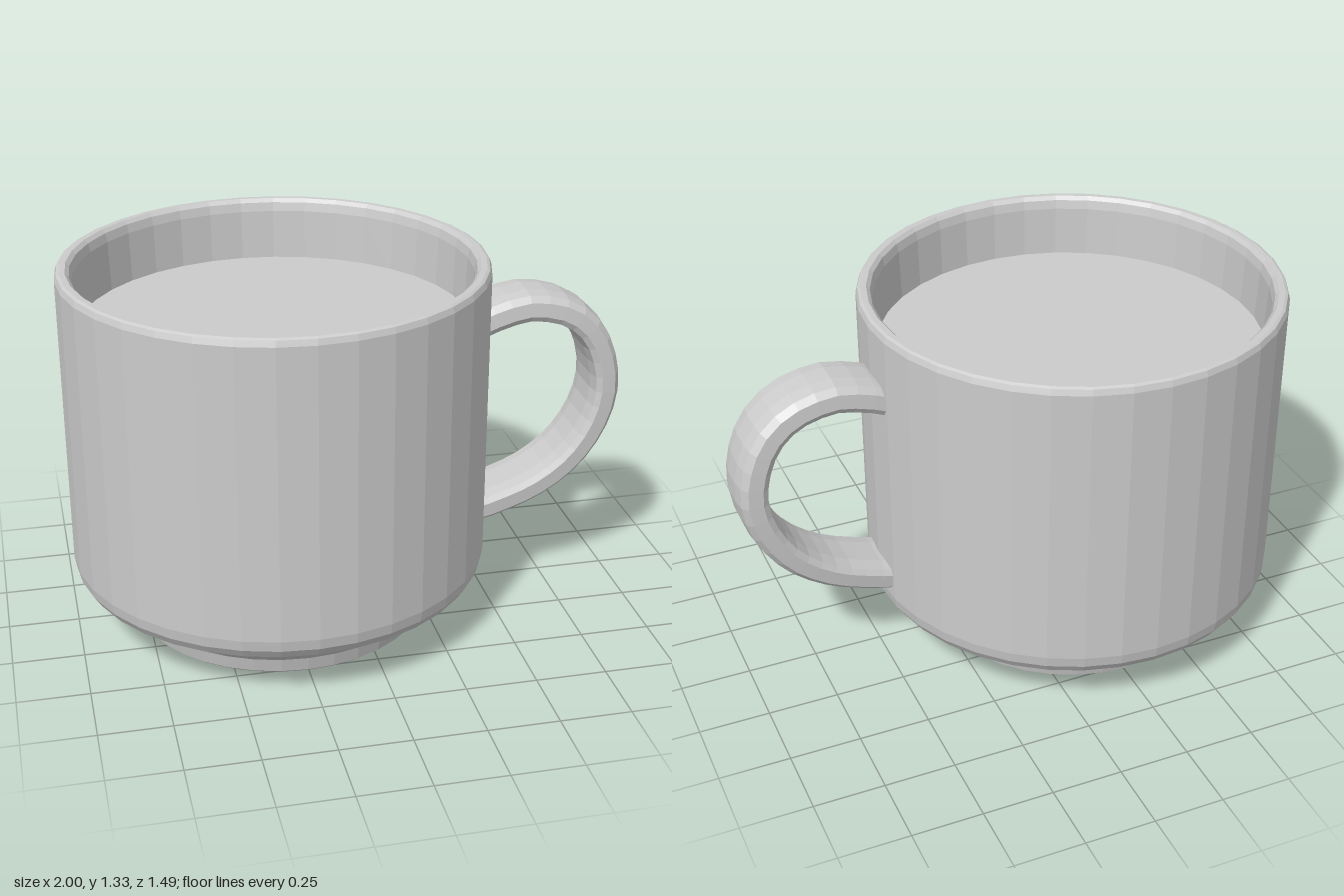
import * as THREE from 'three';

const CUP_X = -0.255; // cup axis, offset so cup plus handle is centred
const SIDES = 36;

const grey = () => new THREE.MeshStandardMaterial({ color: 0xcccccc, flatShading: true });
const v2 = ([x, y]) => new THREE.Vector2(x, y);

function part(name, geometry, x = 0, y = 0) {
  const mesh = new THREE.Mesh(geometry, grey());
  mesh.name = name;
  mesh.position.set(x, y, 0);
  return mesh;
}

// Sweep a closed (outward, sideways) section along a path in the xy plane
function sweepInPlane(path, section, steps) {
  const n = section.length;
  const positions = [], index = [];
  for (let i = 0; i <= steps; i++) {
    const p = path.getPointAt(i / steps);
    const t = path.getTangentAt(i / steps);
    for (const [out, side] of section) {
      positions.push(p.x - t.y * out, p.y + t.x * out, side);
    }
  }
  for (let i = 0; i < steps; i++) {
    for (let j = 0; j < n; j++) {
      const a = i * n + j, b = i * n + (j + 1) % n;
      index.push(a, b, b + n, a, b + n, a + n);
    }
  }
  const geometry = new THREE.BufferGeometry();
  geometry.setAttribute('position', new THREE.Float32BufferAttribute(positions, 3));
  geometry.setIndex(index);
  geometry.computeVertexNormals();
  return geometry;
}

export function createModel() {
  const mug = new THREE.Group();
  mug.name = 'mug';

  // Foot, sloped shoulder, straight wall, rounded rim and inner wall
  const profile = [
    [0, 0], [0.515, 0], [0.53, 0.012], [0.543, 0.065],
    [0.715, 0.185], [0.738, 0.22], [0.745, 0.26],
    [0.745, 1.3], [0.738, 1.32], [0.728, 1.325], [0.708, 1.325],
    [0.695, 1.312], [0.688, 1.28], [0.68, 1.08],
  ].map(v2);
  mug.add(part('cup', new THREE.LatheGeometry(profile, SIDES), CUP_X));

  // Drink surface inside the cup
  const drink = new THREE.CircleGeometry(0.682, SIDES);
  drink.rotateX(-Math.PI / 2);
  mug.add(part('drink', drink, CUP_X, 1.1));

  // Handle: a flat strap with rounded edges, ends sunk into the wall
  const path = new THREE.SplineCurve([
    [0.455, 1.055], [0.52, 1.08], [0.65, 1.107], [0.8, 1.068], [0.9, 0.965],
    [0.945, 0.8], [0.915, 0.645], [0.825, 0.505], [0.69, 0.405],
    [0.53, 0.345], [0.455, 0.327],
  ].map(v2));
  const half = [[0.053, 0.04], [0.046, 0.09], [0.026, 0.115], [-0.024, 0.12], [-0.044, 0.108], [-0.052, 0.06]];
  const section = [...half, ...half.map(([o, s]) => [o, -s]).reverse()];
  mug.add(part('handle', sweepInPlane(path, section, 22)));

  return mug;
}
